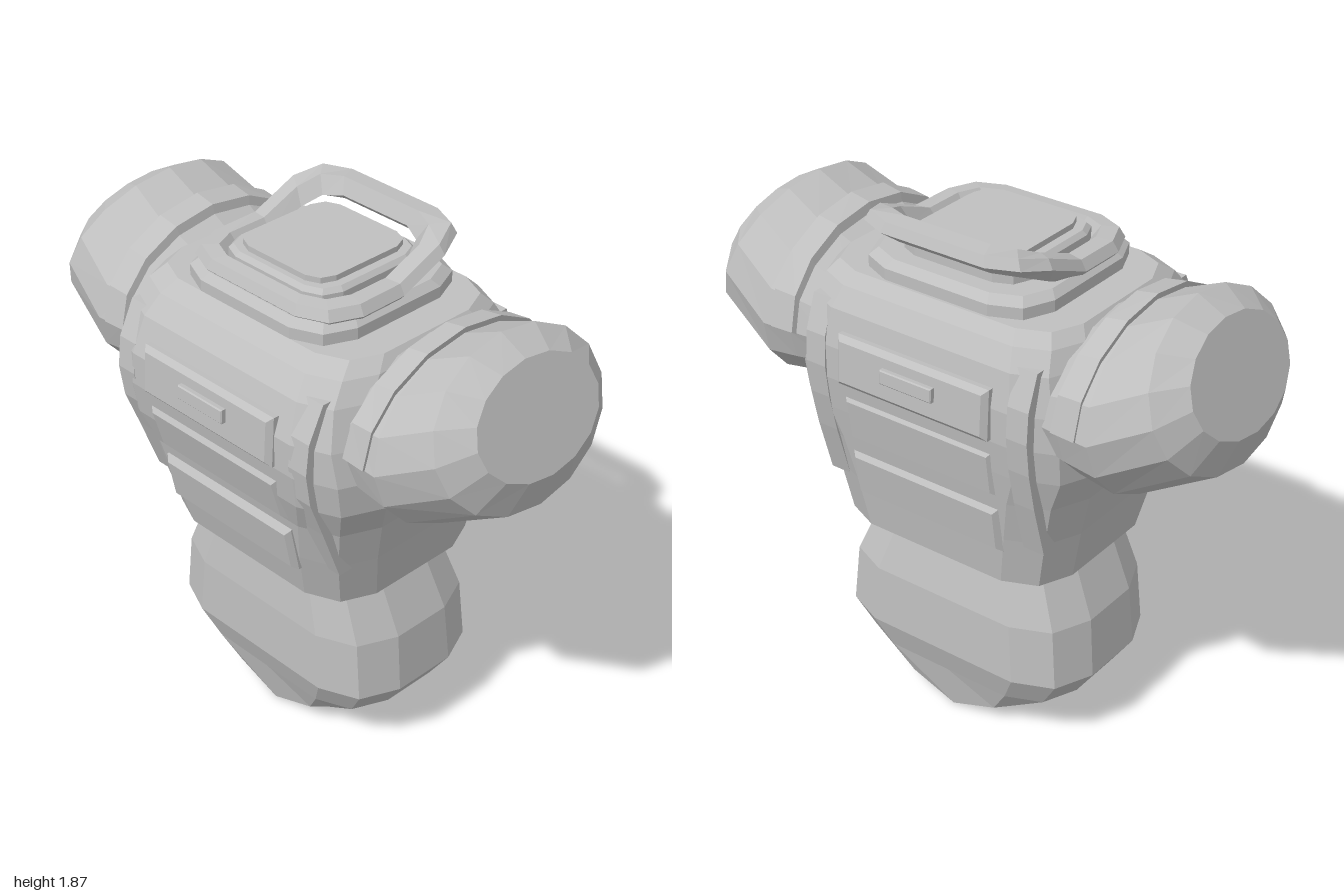
import * as THREE from 'three';

const armour = new THREE.MeshStandardMaterial({ color: 0xbfbfbf });
armour.name = 'armourGrey';
const V = (x, y, z) => new THREE.Vector3(x, y, z);

// Flat-shaded closed skin over matching rings; ends are capped or joined in a loop
function loft(rings, { loop = false, endCentre = null } = {}) {
  const tris = [];
  const n = rings[0].length;
  const last = loop ? rings.length : rings.length - 1;
  for (let i = 0; i < last; i++) {
    const a = rings[i], b = rings[(i + 1) % rings.length];
    for (let j = 0; j < n; j++) {
      const k = (j + 1) % n;
      tris.push([a[j], a[k], b[k]], [a[j], b[k], b[j]]);
    }
  }
  if (!loop) {
    const centre = r => r.reduce((s, p) => s.add(p), V(0, 0, 0)).divideScalar(n);
    const a = rings[0], b = rings[rings.length - 1];
    const ca = centre(a), cb = endCentre || centre(b);
    for (let j = 0; j < n; j++) {
      const k = (j + 1) % n;
      tris.push([ca, a[k], a[j]], [cb, b[j], b[k]]);
    }
  }
  // Face everything outward
  let volume = 0;
  for (const [p, q, r] of tris) volume += p.dot(q.clone().cross(r));
  if (volume < 0) tris.forEach(t => t.reverse());
  const geo = new THREE.BufferGeometry().setFromPoints(tris.flat());
  geo.computeVertexNormals();
  return geo;
}

// Horizontal ring: rectangle with faceted corners, y may be a rule of (x, z)
function ring(y, hx, zf, zb, r) {
  const half = [
    [0, zf], [hx - r, zf], [hx - 0.3 * r, zf - 0.3 * r], [hx, zf - r], [hx, (zf + zb) / 2],
    [hx, zb + r], [hx - 0.3 * r, zb + 0.3 * r], [hx - r, zb], [0, zb],
  ];
  const other = half.slice(1, -1).reverse().map(([x, z]) => [-x, z]);
  return [...half, ...other].map(([x, z]) => V(x, typeof y === 'function' ? y(x, z) : y, z));
}

export function createModel() {
  const model = new THREE.Group();
  const add = (name, geo, parent = model) => {
    const mesh = new THREE.Mesh(geo, armour);
    mesh.name = name;
    parent.add(mesh);
    return mesh;
  };

  // Chest shell, widest around the arm openings
  add('chest', loft([
    ring(0.71, 0.45, 0.32, -0.39, 0.17),
    ring(0.90, 0.49, 0.37, -0.415, 0.18),
    ring(1.06, 0.53, 0.405, -0.44, 0.19),
    ring(1.18, 0.58, 0.45, -0.46, 0.20),
    ring(1.30, 0.585, 0.47, -0.475, 0.20),
    ring(1.42, 0.555, 0.47, -0.475, 0.18),
    ring(1.55, 0.52, 0.425, -0.45, 0.16),
    ring(1.62, 0.50, 0.37, -0.41, 0.16),
    ring(1.66, 0.47, 0.31, -0.37, 0.15),
  ]));

  // Pelvis, ending in a pointed ridge below
  add('pelvis', loft([
    ring(0.73, 0.385, 0.25, -0.30, 0.17),
    ring(0.50, 0.485, 0.275, -0.355, 0.20),
    ring(0.28, 0.505, 0.28, -0.365, 0.20),
    ring(0.17, 0.43, 0.24, -0.33, 0.18),
    ring(x => Math.abs(x) * 0.36, 0.28, 0.20, -0.30, 0.10),
  ], { endCentre: V(0, 0.06, -0.2) }));

  // Neck base, plug and the collar that rises at the back
  add('neckBase', loft([
    ring(1.64, 0.355, 0.31, -0.36, 0.15),
    ring(1.70, 0.355, 0.31, -0.36, 0.15),
    ring(1.725, 0.33, 0.285, -0.33, 0.14),
  ]));
  add('neckPlug', loft([
    ring(1.70, 0.245, 0.205, -0.27, 0.09),
    ring(1.765, 0.245, 0.205, -0.27, 0.09),
    ring(1.78, 0.23, 0.19, -0.255, 0.08),
  ]));
  add('neckPlugTop', loft([
    ring(1.77, 0.20, 0.17, -0.24, 0.07),
    ring(1.80, 0.20, 0.17, -0.24, 0.07),
  ]));
  const rise = base => (x, z) => base + 0.1 * THREE.MathUtils.clamp((-z - 0.04) / 0.24, 0, 1);
  add('collar', loft([
    ring(rise(1.68), 0.31, 0.24, -0.31, 0.13),
    ring(rise(1.73), 0.355, 0.285, -0.375, 0.15),
    ring(rise(1.765), 0.335, 0.27, -0.36, 0.14),
    ring(rise(1.77), 0.28, 0.225, -0.295, 0.11),
    ring(rise(1.72), 0.245, 0.205, -0.27, 0.10),
  ], { loop: true }));

  // Bevelled chest panels, tilted to the shell, on front and back
  const panel = (w, h, d, bevel) => {
    const x = w / 2 - bevel, y = h / 2 - bevel;
    const shape = new THREE.Shape([[-x, -y], [x, -y], [x, y], [-x, y]].map(p => new THREE.Vector2(...p)));
    return new THREE.ExtrudeGeometry(shape, {
      depth: d, bevelEnabled: true, bevelSize: bevel, bevelThickness: bevel, bevelSegments: 1,
    });
  };
  for (const [side, turn, shift, tilts] of [
    ['front', 0, 0, [-0.06, 0.28, 0.2]],
    ['back', Math.PI, 0.012, [-0.06, 0.14, 0.14]],
  ]) {
    const group = new THREE.Group();
    group.name = side + 'Panels';
    group.rotation.y = turn;
    model.add(group);
    const depths = turn ? [0.455, 0.43, 0.4] : [0.455, 0.415, 0.365];
    [1.395, 1.17, 0.94].forEach((y, i) => {
      const mesh = add('chestPanel', panel(0.61, 0.18, 0.03, 0.018), group);
      mesh.position.set(0, y, depths[i] - 0.01 + (i ? 0 : shift));
      mesh.rotation.x = tilts[i];
    });
    const plate = add('smallPlate', panel(0.21, 0.05, 0.02, 0.004), group);
    plate.position.set(0, 1.41, 0.487 + shift);
    plate.rotation.x = tilts[0];
  }

  // Curved vertical straps at the chest corners
  const straps = {
    front: [[0.88, 0.31], [1.08, 0.385], [1.22, 0.44], [1.34, 0.458], [1.45, 0.445], [1.57, 0.385]],
    back: [[0.88, -0.37], [1.08, -0.425], [1.22, -0.455], [1.34, -0.468], [1.45, -0.46], [1.57, -0.415]],
  };
  for (const [side, path] of Object.entries(straps)) {
    for (const s of [-1, 1]) {
      add(side + 'Strap', loft(path.map(([y, z]) => {
        const o = z + 0.015 * Math.sign(z), i = z - 0.06 * Math.sign(z);
        return [V(s * 0.37, y, i), V(s * 0.45, y, i), V(s * 0.45, y, o), V(s * 0.37, y, o)];
      })));
    }
  }

  // Upper arms: oval rings given by their low and high points and depth
  const zArm = -0.038;
  const oval = (s, [lx, ly, ux, uy, b], t) => V(
    s * ((lx + ux) / 2 + Math.cos(t) * (ux - lx) / 2),
    (ly + uy) / 2 + Math.cos(t) * (uy - ly) / 2,
    zArm + Math.sin(t) * b);
  const armRings = [
    [0.42, 1.15, 0.41, 1.62, 0.38],
    [0.55, 1.12, 0.54, 1.69, 0.42],
    [0.69, 1.09, 0.62, 1.715, 0.425],
    [0.96, 1.25, 0.76, 1.78, 0.382],
    [1.0, 1.38, 0.86, 1.73, 0.275],
  ];
  const bandInner = [0.51, 1.13, 0.525, 1.65, 0.40], bandOuter = [0.51, 1.10, 0.54, 1.72, 0.43];
  const bandOuter2 = [0.61, 1.08, 0.62, 1.735, 0.433], bandInner2 = [0.61, 1.12, 0.61, 1.66, 0.40];
  for (const [side, s] of [['left', 1], ['right', -1]]) {
    add(side + 'UpperArm', loft(armRings.map(r =>
      Array.from({ length: 16 }, (_, i) => oval(s, r, i / 16 * Math.PI * 2)))));

    // Band over the top of the shoulder
    add(side + 'ShoulderBand', loft(Array.from({ length: 9 }, (_, i) => {
      const t = -Math.PI / 2 + i / 8 * Math.PI;
      return [bandInner, bandOuter, bandOuter2, bandInner2].map(r => oval(s, r, t));
    })));
  }
  return model;
}
